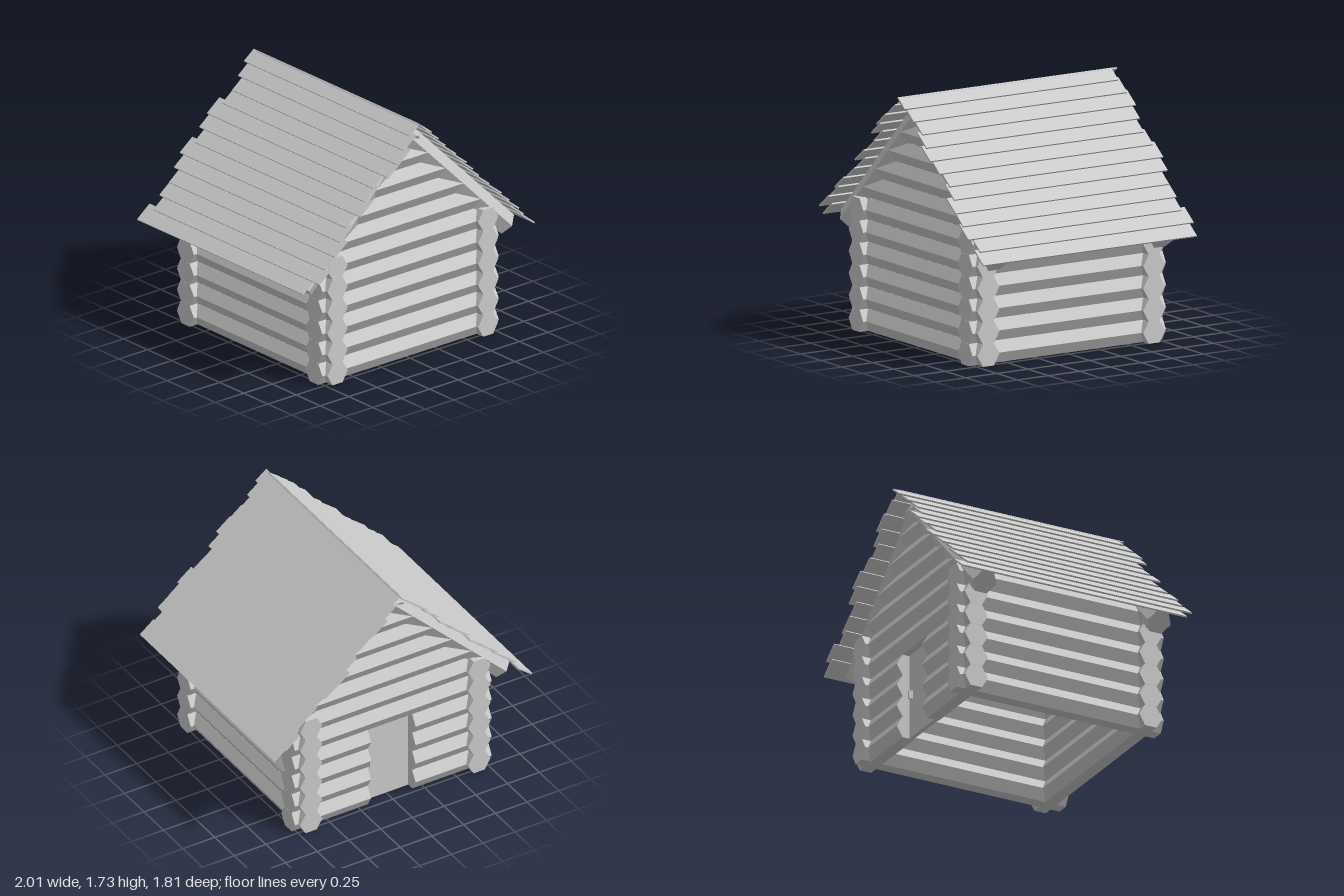
import * as THREE from 'three';

const R = 0.088;              // log radius
const H = 0.153;              // log height, flat to flat
const WALL = 0.668;           // wall centre line
const ROWS = 6;
const PITCH = 0.78;           // roof angle
const RIDGE = 1.735;
const DOOR_W = 0.175, DOOR_ROWS = 4;

const mat = new THREE.MeshStandardMaterial({ color: 0xcccccc, flatShading: true });

function add(parent, name, geo, x = 0, y = 0, z = 0) {
  const mesh = new THREE.Mesh(geo, mat);
  mesh.name = name;
  mesh.position.set(x, y, z);
  parent.add(mesh);
  return mesh;
}

// Hexagonal log along x, each end optionally cut at a slant
function logGeo(x0, x1, slant0 = 0, slant1 = 0) {
  const geo = new THREE.CylinderGeometry(R, R, 1, 6).rotateZ(Math.PI / 2);
  const p = geo.attributes.position;
  for (let i = 0; i < p.count; i++) {
    const y = p.getY(i);
    p.setX(i, p.getX(i) < 0 ? x0 + slant0 * y : x1 + slant1 * y);
  }
  geo.computeVertexNormals();
  return geo;
}

// Two side walls, front wall, and back wall with the door opening
function buildWalls() {
  const walls = new THREE.Group();
  walls.name = 'walls';
  for (let i = 0; i < ROWS; i++) {
    const y = (i + 0.5) * H;
    for (const s of [-1, 1]) {
      add(walls, 'sideLog', logGeo(-0.78, 0.78), s * 0.662, y, 0).rotation.y = Math.PI / 2;
    }
    add(walls, 'frontLog', logGeo(-0.775, 0.775), 0, y, WALL);
    if (i < DOOR_ROWS) {
      add(walls, 'backLogRight', logGeo(-0.775, -DOOR_W), 0, y, -WALL);
      add(walls, 'backLogLeft', logGeo(DOOR_W, 0.775), 0, y, -WALL);
    } else {
      add(walls, 'backLog', logGeo(-0.775, 0.775), 0, y, -WALL);
    }
  }
  return walls;
}

// Gable logs shorten toward the ridge, their ends cut to the roof slope
function buildGables() {
  const gables = new THREE.Group();
  gables.name = 'gables';
  const t = Math.tan(PITCH);
  for (const z of [-WALL, WALL]) {
    for (let k = 0; k < 5; k++) {
      const y = (ROWS + k + 0.5) * H;
      const half = (RIDGE - 0.09 / Math.cos(PITCH) - y) / t;
      if (k < 4) add(gables, 'gableLog', logGeo(-half, half, 1 / t, -1 / t), 0, y, z);
      else add(gables, 'gableTopLog', logGeo(-0.07, 0.07, 0.8, -0.8), 0, y - 0.005, z);
    }
  }
  return gables;
}

// One roof slope: two mitred rafters and lapped boards listed from eave to ridge
function buildSlope(shifts, flip) {
  const side = new THREE.Group();
  side.name = flip ? 'roofRight' : 'roofLeft';
  const slope = new THREE.Group();
  slope.name = 'slope';
  slope.position.y = RIDGE;
  slope.rotation.z = -PITCH;
  side.add(slope);

  const t = Math.tan(PITCH), n = -0.092;
  for (const z of [-WALL, WALL]) {
    add(slope, 'rafter', logGeo(-n * t, 1.345, -t, 0), 0, n, z);
  }
  const step = 0.108, tilt = 0.12;
  shifts.forEach((dz, i) => {
    const low = 1.405 - i * step;
    const w = Math.min(0.14, low);
    const board = add(slope, 'roofBoard', new THREE.BoxGeometry(w, 0.011, 1.72),
      low - w / 2, -0.003, flip ? -dz : dz);
    board.rotation.z = tilt;
  });
  if (flip) side.rotation.y = Math.PI;
  return side;
}

// Recessed door in the back wall, with handle
function buildDoor() {
  const door = new THREE.Group();
  door.name = 'door';
  const h = DOOR_ROWS * H;
  add(door, 'doorPanel', new THREE.BoxGeometry(DOOR_W * 2, h, 0.03), 0, h / 2, -0.645);
  add(door, 'doorHandle', new THREE.BoxGeometry(0.015, 0.06, 0.03), 0.135, h / 2, -0.672);
  return door;
}

export function createModel() {
  const cabin = new THREE.Group();
  cabin.name = 'logCabin';
  cabin.add(buildWalls(), buildGables(), buildDoor());
  cabin.add(buildSlope(
    [0, -0.025, 0.02, 0.01, 0.02, -0.02, -0.035, -0.005, 0.02, 0, -0.02, 0, 0.02], false));
  cabin.add(buildSlope(
    [-0.04, 0.04, 0.01, 0.02, -0.02, -0.05, 0.01, -0.03, -0.04, 0.03, 0.04, 0.01, -0.02], true));
  return cabin;
}
